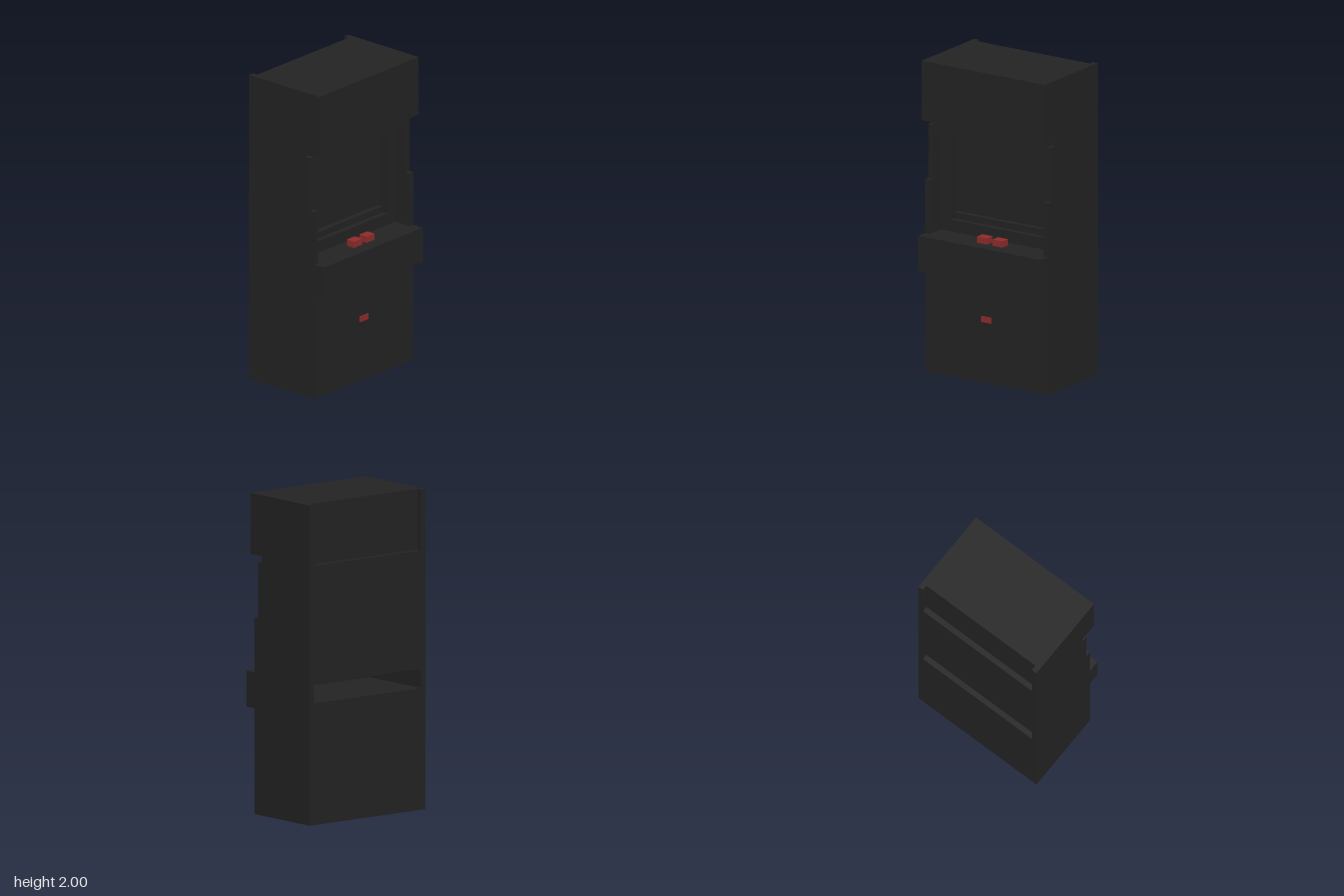
import * as THREE from 'three';

export function createModel() {
  const model = new THREE.Group();
  model.name = 'cabinet';
  const black = new THREE.MeshStandardMaterial({ color: 0x232323 });
  black.name = 'black panel';
  const red = new THREE.MeshStandardMaterial({ color: 0x902b2b });
  red.name = 'red button';

  const INNER = 0.425, OUTER = 0.46, BACK = -0.305;

  // Box given by its limits on each axis
  function box(name, x0, x1, y0, y1, z0, z1, material = black) {
    const mesh = new THREE.Mesh(new THREE.BoxGeometry(x1 - x0, y1 - y0, z1 - z0), material);
    mesh.position.set((x0 + x1) / 2, (y0 + y1) / 2, (z0 + z1) / 2);
    mesh.name = name;
    model.add(mesh);
  }
  // Box that fills the width between the side panels
  const inner = (name, ...limits) => box(name, -INNER, INNER, ...limits);

  // Side panels: stepped outline (z, y) with a small notch under the header
  const outline = [
    [BACK, 0], [0.23, 0], [0.23, 0.66], [0.305, 0.66], [0.305, 0.885], [0.23, 0.885],
    [0.23, 1.23], [0.195, 1.23], [0.195, 1.577], [0.155, 1.577], [0.155, 1.62],
    [0.27, 1.62], [0.27, 2], [BACK, 2],
  ];
  const shape = new THREE.Shape(outline.map(([z, y]) => new THREE.Vector2(-z, y)));
  const panel = new THREE.ExtrudeGeometry(shape, { depth: OUTER - INNER, bevelEnabled: false });
  panel.rotateY(Math.PI / 2); // outline -z becomes world z
  for (const [name, x] of [['leftSidePanel', INNER], ['rightSidePanel', -OUTER]]) {
    const mesh = new THREE.Mesh(panel, black);
    mesh.position.x = x;
    mesh.name = name;
    model.add(mesh);
  }

  // Base, control box and the open slot at the back
  inner('base', 0, 0.66, BACK, 0.23);
  inner('slotFloor', 0.66, 0.76, BACK, 0.305);
  inner('controlBoxFront', 0.76, 0.885, 0.19, 0.305);
  inner('controlTop', 0.88, 0.885, BACK, 0.19);

  // Monitor housing with stepped bezel
  inner('screenHousing', 0.885, 1.62, BACK, 0.04);
  inner('lowerBezel', 0.885, 0.96, 0.04, 0.11);
  inner('upperBezel', 1.54, 1.62, 0.04, 0.193);
  box('lowerScreenStep', -0.35, 0.35, 0.96, 1.0, 0.04, 0.075);
  box('upperScreenStep', -0.35, 0.35, 1.5, 1.54, 0.04, 0.075);
  box('leftBezel', 0.35, INNER, 0.96, 1.54, 0.04, 0.11);
  box('rightBezel', -INNER, -0.35, 0.96, 1.54, 0.04, 0.11);

  // Header, set in from the back edge
  inner('header', 1.62, 2, -0.27, 0.27);

  // Red controls
  for (const x of [-0.0425, 0.0725]) {
    box('controlButton', x - 0.0375, x + 0.0375, 0.885, 0.925, 0.16, 0.22, red);
  }
  box('coinPlate', -0.04, 0.037, 0.388, 0.425, 0.23, 0.236, red);

  return model;
}
